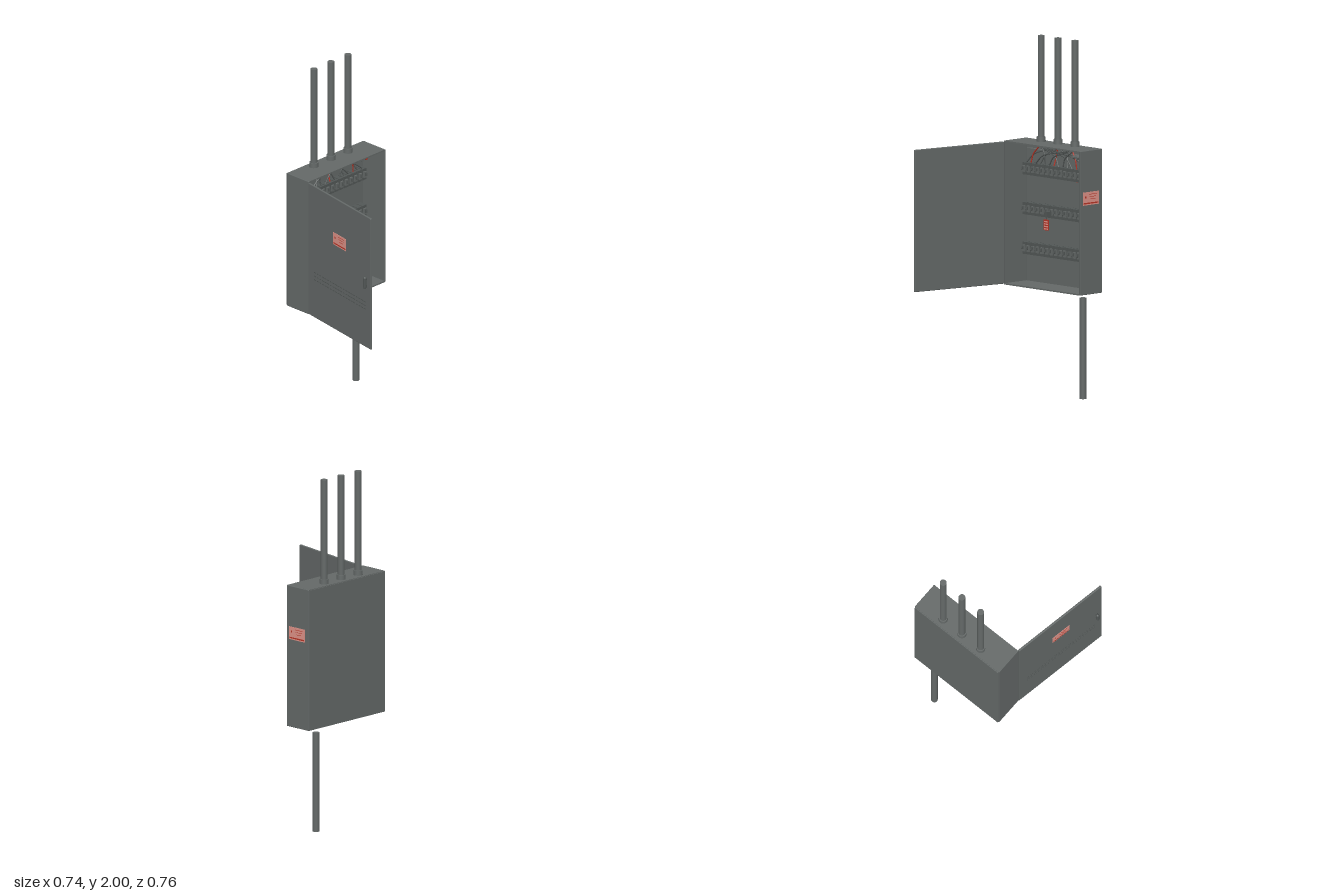
import * as THREE from 'three';
import { RoundedBoxGeometry } from 'three/addons/geometries/RoundedBoxGeometry.js';

const paint = (name, color) => {
  const m = new THREE.MeshStandardMaterial({ color });
  m.name = name;
  return m;
};

export function createModel() {
  const steel = paint('grey steel', 0x646968);
  const dark = paint('dark grey plastic', 0x525756);
  const red = paint('signal red', 0xb83426);
  const pale = paint('pale label', 0xdf9288);

  const model = new THREE.Group();
  model.name = 'electricalCabinet';

  const add = (name, geo, mat, x, y, z, parent = model) => {
    const mesh = new THREE.Mesh(geo, mat);
    mesh.name = name;
    mesh.position.set(x, y, z);
    parent.add(mesh);
    return mesh;
  };
  const box = (name, w, h, d, mat, x, y, z, parent) =>
    add(name, new THREE.BoxGeometry(w, h, d), mat, x, y, z, parent);
  const group = (name, parent = model) => {
    const g = new THREE.Group();
    g.name = name;
    parent.add(g);
    return g;
  };

  // Open-fronted cabinet made of five sheets
  const cabinet = group('cabinet');
  box('backPanel', 0.6, 0.8, 0.008, steel, 0.06, 1.003, -0.378, cabinet);
  for (const x of [-0.24, 0.361])
    add('sideWall', new RoundedBoxGeometry(0.008, 0.806, 0.168, 2, 0.003), steel, x, 1.003, -0.292, cabinet);
  for (const y of [0.604, 1.402])
    box(y > 1 ? 'topWall' : 'bottomWall', 0.598, 0.008, 0.168, steel, 0.0605, y, -0.293, cabinet);
  box('mountingPlate', 0.53, 0.7, 0.024, steel, 0.06, 1.005, -0.362, cabinet);

  // Conduits with collars
  const pipe = new THREE.CylinderGeometry(0.019, 0.019, 1, 20);
  const collar = new THREE.CylinderGeometry(0.025, 0.026, 0.028, 20);
  const feeds = [-0.075, 0.06, 0.195];
  for (const x of feeds) {
    add('topConduit', pipe, steel, x, 1.703, -0.333).scale.y = 0.594;
    add('conduitCollar', collar, steel, x, 1.419, -0.333);
  }
  add('bottomConduit', pipe, steel, 0.259, 0.283, -0.333).scale.y = 0.566;

  // Three rows of breakers on rails
  const count = 14, pitch = 0.0366, firstX = -0.18;
  const bodyGeo = new THREE.BoxGeometry(0.031, 0.068, 0.046);
  const faceGeo = new THREE.BoxGeometry(0.019, 0.036, 0.01);
  const leverGeo = new THREE.BoxGeometry(0.009, 0.018, 0.012);
  for (const y of [1.247, 1.024, 0.802]) {
    const row = group('breakerRow');
    box('rail', 0.515, 0.05, 0.014, steel, 0.058, y - 0.012, -0.344, row);
    for (let i = 0; i < count; i++) {
      const x = firstX + i * pitch;
      add('breaker', bodyGeo, dark, x, y, -0.327, row);
      add('breakerFace', faceGeo, steel, x, y, -0.3, row);
      add('breakerLever', leverGeo, dark, x, y + 0.004, -0.29, row).rotation.x = -0.3;
    }
  }
  box('redBusStrip', 0.13, 0.004, 0.006, red, 0.235, 1.209, -0.334);

  // Wires fanning from the conduits to the top row
  const wires = group('wires');
  for (let i = 0; i < count; i++) {
    const end = firstX + i * pitch;
    const start = feeds[(i * 2 + 1) % 3] + ((i % 5) - 2) * 0.005;
    const z = -0.326 + ((i % 3) - 1) * 0.009;
    const path = new THREE.CatmullRomCurve3([
      new THREE.Vector3(start, 1.4, z),
      new THREE.Vector3(start + (end - start) * 0.15, 1.375, z),
      new THREE.Vector3(start + (end - start) * 0.8, 1.33, z),
      new THREE.Vector3(end, 1.278, -0.32),
    ]);
    const mat = i % 5 === 1 ? red : dark;
    add('wire', new THREE.TubeGeometry(path, 16, 0.0036, 6), mat, 0, 0, 0, wires);
  }

  // Indicator lamps
  const lamp = new THREE.CylinderGeometry(0.009, 0.009, 0.07, 14);
  [[0.225, steel], [0.258, steel], [0.291, red]].forEach(([x, mat]) => {
    add('indicatorLamp', lamp, mat, x, 1.352, -0.315).rotation.x = Math.PI / 2;
  });

  // Warning plate facing +z, with printed bars
  const warningLabel = (name, w, h, parent) => {
    const g = group(name, parent);
    box('labelPlate', w, h, 0.003, pale, 0, 0, 0, g);
    box('labelBar', w * 0.94, h * 0.1, 0.001, red, 0, -h * 0.36, 0.0015, g);
    for (let i = 0; i < 3; i++)
      box('labelLine', w * (0.5 - i * 0.1), h * 0.035, 0.001, red, w * 0.12, h * (0.32 - i * 0.18), 0.0015, g);
    box('labelMark', w * 0.08, h * 0.16, 0.001, red, -w * 0.34, h * 0.12, 0.0015, g);
    return g;
  };
  const sideLabel = warningLabel('sideLabel', 0.12, 0.073);
  sideLabel.position.set(0.366, 1.138, -0.29);
  sideLabel.rotation.y = Math.PI / 2;

  // Lockout clip on the middle breaker, with its hanging tag
  const tag = group('lockoutTag');
  box('lockoutClip', 0.016, 0.03, 0.034, dark, 0.04, 1.015, -0.278, tag);
  box('tagPlate', 0.04, 0.06, 0.004, red, 0.04, 0.957, -0.262, tag);
  box('tagStem', 0.006, 0.03, 0.003, dark, 0.04, 0.995, -0.262, tag);
  for (let i = 0; i < 4; i++)
    for (const z of [-0.2598, -0.2642])
      box('tagLine', 0.034, 0.007, 0.001, pale, 0.04, 0.935 + i * 0.0135, z, tag);

  // Open door: length along local z, outside facing local -x
  const door = group('door');
  door.position.set(-0.243, 0, -0.205);
  door.rotation.y = Math.atan2(-0.105, 0.585);
  add('doorPanel', new RoundedBoxGeometry(0.012, 0.796, 0.594, 2, 0.004), steel, 0, 1.003, 0.297, door);
  add('hinge', new THREE.CylinderGeometry(0.006, 0.006, 0.79, 10), steel, 0, 1.003, 0.002, door);
  const doorLabel = warningLabel('doorLabel', 0.12, 0.073, door);
  doorLabel.position.set(-0.0065, 1.155, 0.3);
  doorLabel.rotation.y = -Math.PI / 2;

  // Handle
  add('handleGrip', new THREE.CapsuleGeometry(0.01, 0.052, 4, 10), dark, -0.018, 1.003, 0.555, door);
  for (const y of [0.982, 1.024]) box('handleMount', 0.014, 0.01, 0.01, dark, -0.01, y, 0.555, door);

  // Rows of vent slots
  const slot = new THREE.BoxGeometry(0.002, 0.005, 0.017);
  for (let r = 0; r < 3; r++)
    for (let i = 0; i < 20; i++)
      add('ventSlot', slot, dark, -0.0055, 0.835 + r * 0.022, 0.065 + i * 0.0248, door);

  return model;
}
